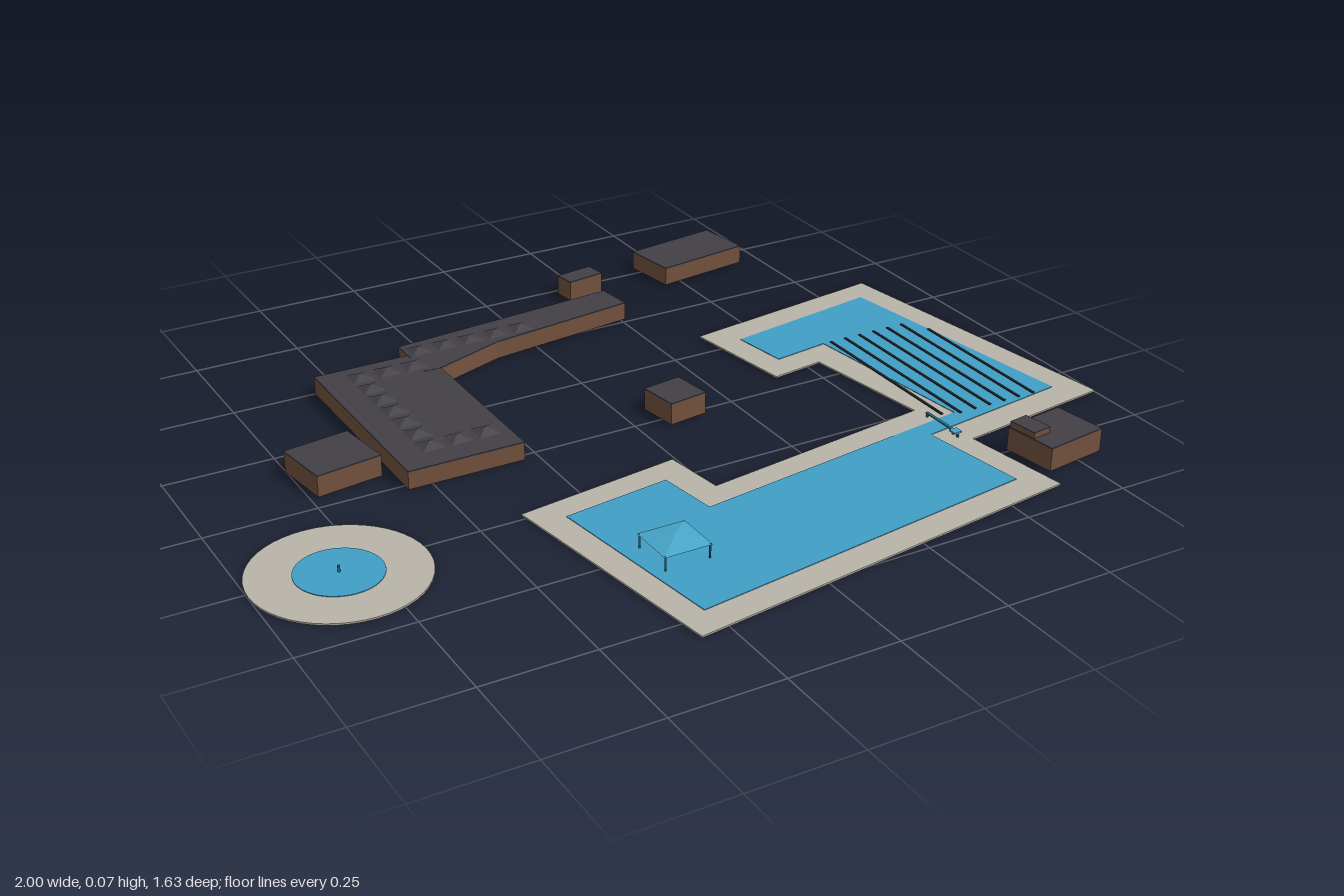
import * as THREE from 'three';

const mat = (name, color, side = THREE.FrontSide) => {
  const m = new THREE.MeshStandardMaterial({ color, side });
  m.name = name;
  return m;
};

export function createModel() {
  const model = new THREE.Group();
  model.name = 'poolComplex';
  const paving = mat('paving', 0xbab4a9);
  const water = mat('water', 0x409fc7);
  const brick = mat('brick', 0x76543f);
  const roofing = mat('roofing', 0x424046);
  const lane = mat('laneRope', 0x26282c);
  const canopyBlue = mat('canopyBlue', 0x48a8cb, THREE.DoubleSide);
  const steel = mat('steelBlue', 0x2c6d8c);

  const add = (parent, name, geo, material, x = 0, y = 0, z = 0) => {
    const mesh = new THREE.Mesh(geo, material);
    mesh.name = name;
    mesh.position.set(x, y, z);
    parent.add(mesh);
    return mesh;
  };
  const toShape = pts => new THREE.Shape(pts.map(([x, z]) => new THREE.Vector2(x, -z)));
  // Plan outline of [x, z] points raised to a slab
  const slab = (shape, height) =>
    new THREE.ExtrudeGeometry(shape, { depth: height, bevelEnabled: false }).rotateX(-Math.PI / 2);
  const box = (w, h, d) => new THREE.BoxGeometry(w, h, d);
  const pyramid = (w, h) =>
    new THREE.ConeGeometry(w / Math.SQRT2, h, 4, 1).toNonIndexed().rotateY(Math.PI / 4);
  const flatPyramid = (w, h) => {
    const g = pyramid(w, h);
    g.computeVertexNormals();
    return g;
  };

  // Main pool deck and connected water
  const deck = [
    [-0.4, 0.235], [-0.01, 0.18], [0.01, 0.327], [0.58, 0.246], [0.535, -0.07], [0.405, -0.052],
    [0.365, -0.33], [0.89, -0.405], [1, 0.365], [0.61, 0.42], [0.645, 0.675], [-0.315, 0.81],
  ];
  const pool = [
    [-0.325, 0.29], [-0.07, 0.255], [-0.05, 0.4], [0.65, 0.3], [0.6, -0.147], [0.46, -0.127],
    [0.44, -0.265], [0.835, -0.33], [0.925, 0.305], [0.54, 0.362], [0.575, 0.615], [-0.265, 0.735],
  ];
  add(model, 'poolDeck', slab(toShape(deck), 0.004), paving);
  add(model, 'poolWater', slab(toShape(pool), 0.0025), water, 0, 0.003);

  // Swimming lanes
  for (let i = 0; i < 7; i++) {
    const z0 = i === 6 ? -0.09 : -0.145, z1 = i === 0 ? 0.295 : 0.31;
    add(model, 'laneRope', box(0.006, 0.003, z1 - z0), lane, 0.62 + i * 0.041, 0.0065, (z0 + z1) / 2);
  }

  // Round pool with a fountain post
  const round = new THREE.Group();
  round.name = 'roundPool';
  round.position.set(-0.813, 0, 0.265);
  model.add(round);
  add(round, 'roundDeck', new THREE.CylinderGeometry(0.187, 0.187, 0.004, 48), paving, 0, 0.002);
  add(round, 'roundWater', new THREE.CylinderGeometry(0.092, 0.092, 0.0025, 40), water, 0, 0.00425);
  add(round, 'fountainPost', new THREE.CylinderGeometry(0.003, 0.003, 0.016, 8), steel, 0, 0.012);

  // Two wings of the main building
  const building = (name, pts, h) => {
    add(model, name + 'Walls', slab(toShape(pts), h - 0.003), brick);
    add(model, name + 'Roof', slab(toShape(pts), 0.003), roofing, 0, h - 0.003);
  };
  building('westWing', [[-0.555, -0.5], [-0.283, -0.5], [-0.283, 0.02], [-0.555, 0.02]], 0.043);
  building('northWing', [[-0.323, -0.553], [0.253, -0.605], [0.263, -0.515], [-0.11, -0.465],
    [-0.283, -0.402], [-0.323, -0.402]], 0.0436);

  // Rows of roof skylights
  const spots = [];
  for (let i = 0; i < 7; i++) spots.push([-0.465, -0.445 + i * 0.063]);
  for (let i = 1; i < 3; i++) spots.push([-0.465 + i * 0.066, -0.445], [-0.465 + i * 0.066, -0.067]);
  for (let i = 0; i < 5; i++) spots.push([-0.29 + i * 0.066, -0.512]);
  for (const [x, z] of spots) add(model, 'skylight', flatPyramid(0.052, 0.011), roofing, x, 0.0485, z);

  // Detached blocks, all turned by the same angle
  const turn = 0.14;
  const block = (name, x, z, w, d, h, hollow) => {
    const g = new THREE.Group();
    g.name = name;
    g.position.set(x, 0, z);
    g.rotation.y = turn;
    model.add(g);
    const rect = (a, b) => [[-a, -b], [a, -b], [a, b], [-a, b]];
    const plan = toShape(rect(w / 2, d / 2));
    if (hollow) plan.holes.push(toShape(rect(w / 2 - 0.006, d / 2 - 0.006)));
    add(g, name + 'Walls', slab(plan, h - 0.003), brick);
    add(g, name + 'Roof', box(w, 0.003, d), roofing, 0, h - 0.0015);
    return g;
  };
  block('eastHall', 0.567, -0.732, 0.245, 0.137, 0.046, true);
  block('northKiosk', 0.243, -0.712, 0.097, 0.053, 0.05);
  block('westHouse', -0.665, -0.123, 0.155, 0.14, 0.05);
  block('courtyardHouse', 0.115, -0.022, 0.097, 0.098, 0.052);
  const house = block('southHouse', 0.733, 0.543, 0.155, 0.127, 0.055);
  add(house, 'roofHutchWalls', box(0.048, 0.012, 0.07), brick, -0.051, 0.061, -0.026);
  add(house, 'roofHutchTop', box(0.048, 0.002, 0.07), roofing, -0.051, 0.068, -0.026);

  // Canopy standing in the pool
  const canopy = new THREE.Group();
  canopy.name = 'canopy';
  canopy.position.set(-0.207, 0, 0.525);
  model.add(canopy);
  add(canopy, 'canopyRoof', flatPyramid(0.11, 0.012), canopyBlue, 0, 0.043);
  for (const sx of [-1, 1]) for (const sz of [-1, 1])
    add(canopy, 'canopyLeg', box(0.003, 0.034, 0.003), steel, sx * 0.051, 0.021, sz * 0.051);

  // Small footbridge over the channel
  add(model, 'bridgeBeam', box(0.007, 0.003, 0.1), steel, 0.585, 0.0145, 0.335);
  add(model, 'bridgePlatform', box(0.02, 0.004, 0.02), canopyBlue, 0.585, 0.015, 0.39);
  for (const z of [0.287, 0.382, 0.398])
    add(model, 'bridgePost', box(0.004, 0.012, 0.004), steel, 0.585, 0.009, z);

  return model;
}
